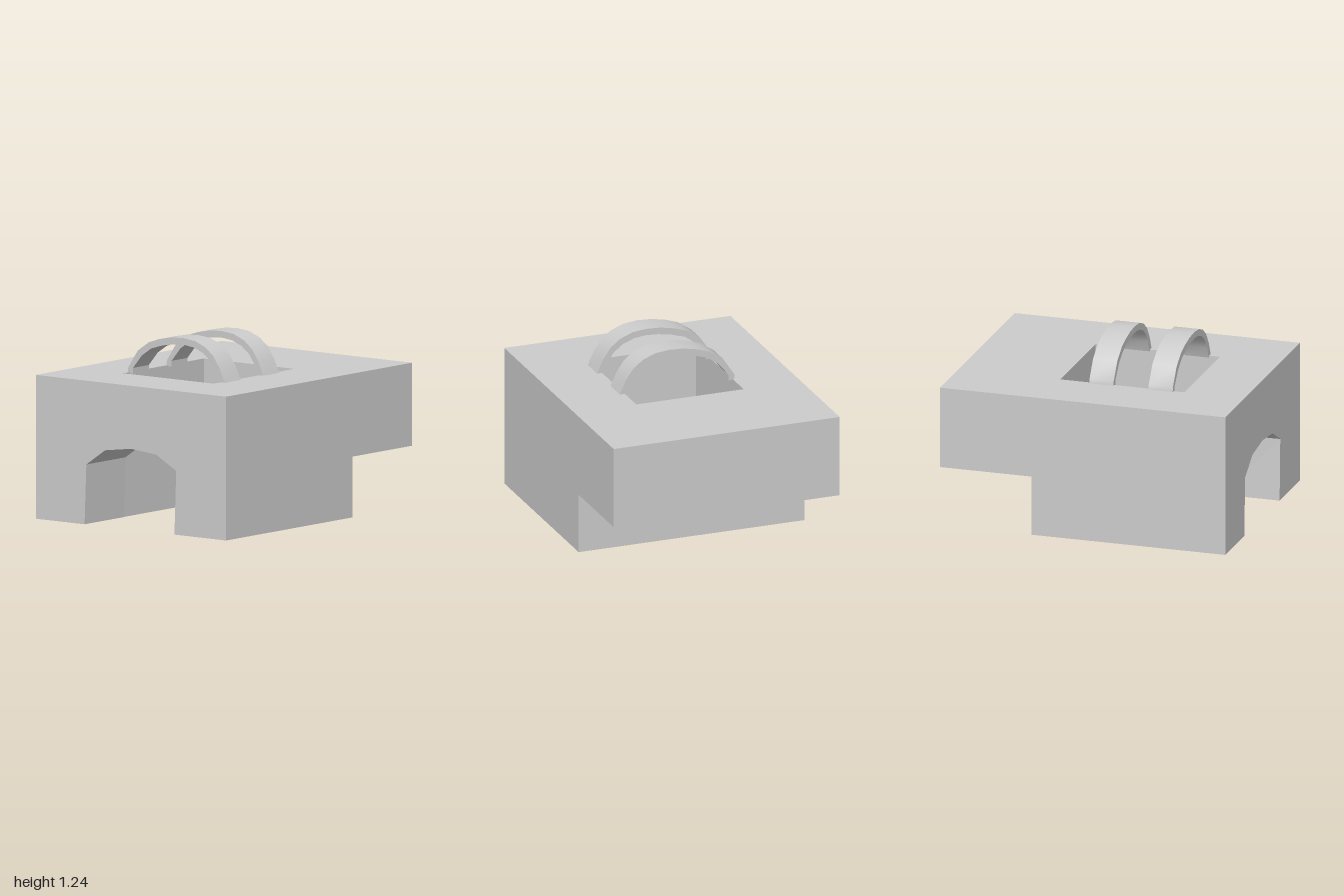
import * as THREE from 'three';
import { toCreasedNormals } from 'three/addons/utils/BufferGeometryUtils.js';

const TOP = 0.97, HALF = 0.81, LEDGE = 0.41;
const PIT = { left: -0.4, right: 0.37, back: -0.29, front: 0.58 };

const shapeOf = (pts) => new THREE.Shape(pts.map(([x, y]) => new THREE.Vector2(x, y)));

// Extrude an x/y outline from z0 to z1
function extrudeZ(pts, z0, z1) {
  const g = new THREE.ExtrudeGeometry(shapeOf(pts), { depth: z1 - z0, bevelEnabled: false });
  return g.translate(0, 0, z0);
}

// Stepped side profile (overhanging at the back), extruded from x0 to x1
function steppedBlock(x0, x1, zFront) {
  const profile = [[1, LEDGE], [1, TOP], [-zFront, TOP], [-zFront, 0], [0.36, 0], [0.36, LEDGE]];
  const g = new THREE.ExtrudeGeometry(shapeOf(profile), { depth: x1 - x0, bevelEnabled: false });
  return g.rotateY(Math.PI / 2).translate(x0, 0, 0);
}

export function createModel() {
  const model = new THREE.Group();
  const material = new THREE.MeshStandardMaterial({ color: 0xcccccc });
  const add = (name, geometry) => {
    const mesh = new THREE.Mesh(geometry, material);
    mesh.name = name;
    model.add(mesh);
  };

  // Body around the open shaft
  add('rightSideBlock', steppedBlock(-HALF, PIT.left, PIT.front));
  add('leftSideBlock', steppedBlock(PIT.right, HALF, PIT.front));
  add('rearBlock', steppedBlock(PIT.left, PIT.right, PIT.back));

  // Front wall with arched opening
  const arch = [[-0.395, 0], [-0.38, 0.405], [-0.22, 0.515], [0, 0.545],
    [0.215, 0.525], [0.385, 0.43], [0.37, 0]];
  const wall = extrudeZ([[-HALF, 0], ...arch, [HALF, 0], [HALF, TOP], [-HALF, TOP]], PIT.front, 1);
  // The arch narrows to the shaft width at its inner end
  const p = wall.attributes.position;
  for (let i = 0; i < p.count; i++) {
    if (p.getZ(i) < 0.8 && Math.abs(p.getX(i)) < 0.5) p.setX(i, Math.min(p.getX(i), PIT.right));
  }
  wall.computeVertexNormals();
  add('archedFrontWall', wall);

  // Two curved straps over the shaft
  const outer = [[-0.42, 0.96], [-0.415, 1], [-0.335, 1.12], [-0.24, 1.185], [-0.15, 1.215],
    [-0.05, 1.235], [0.05, 1.24], [0.15, 1.23], [0.24, 1.195], [0.31, 1.14], [0.365, 1.06], [0.41, 0.96]];
  const inner = [[-0.375, 0.96], [-0.375, 1], [-0.3, 1.09], [-0.22, 1.145], [-0.12, 1.175],
    [-0.03, 1.19], [0.06, 1.195], [0.14, 1.185], [0.22, 1.155], [0.285, 1.105], [0.33, 1.04], [0.36, 0.96]];
  const strap = [...outer, ...inner.reverse()];
  for (const [name, z] of [['frontStrap', 0.335], ['rearStrap', -0.08]]) {
    add(name, toCreasedNormals(extrudeZ(strap, z, z + 0.17), 0.6));
  }
  return model;
}
